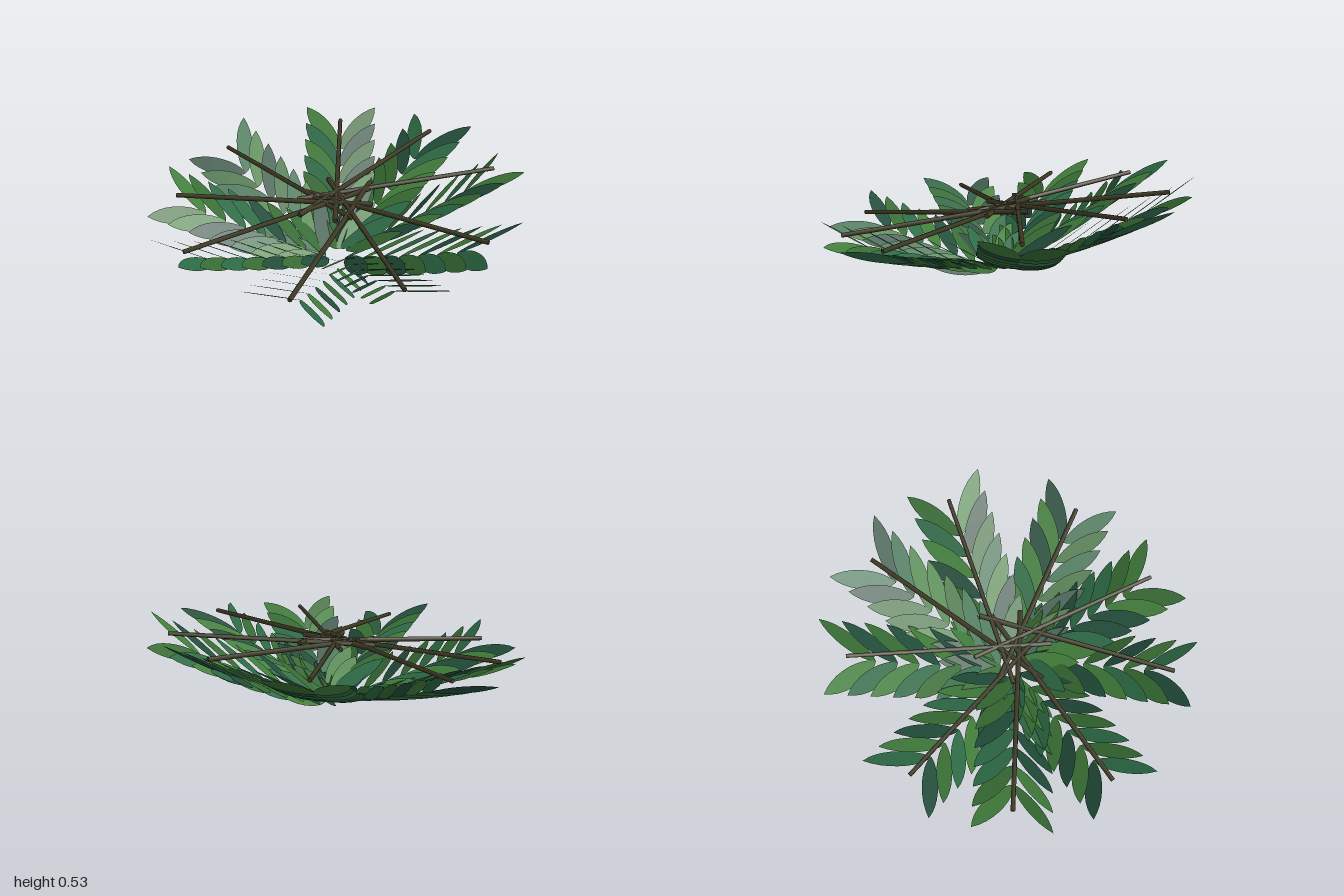
import * as THREE from 'three';

// Each frond: stem start (x, z), stem tip (x, z), then for its two sides
// the height of the outermost leaflet tip and the leaflets' upward slope along the frond
const FRONDS = [
  [[0.11, -0.20], [0.11, 0.87], [0.28, 0.56], [0.17, 0.56]],
  [[-0.12, -0.17], [0.60, 0.64], [0.27, 0.58], [0.26, 0.58]],
  [[-0.20, -0.02], [0.87, 0.16], [0.30, 0.75], [0.38, 0.56]],
  [[-0.20, 0.06], [0.71, -0.52], [0.49, 0.72], [0.44, 0.85]],
  [[-0.13, 0.20], [0.25, -0.82], [0.53, 0.80], [0.51, 0.80]],
  [[0.07, 0.20], [-0.30, -0.80], [0.52, 0.80], [0.52, 0.80]],
  [[0.14, 0.15], [-0.81, -0.33], [0.51, 0.85], [0.36, 0.70]],
  [[0.20, 0.00], [-0.85, 0.21], [0.40, 0.58], [0.28, 0.75]],
  [[0.13, -0.14], [-0.56, 0.67], [0.25, 0.62], [0.28, 0.62]],
];
const PAIRS = 7, SPACING = 0.11, FIRST = 0.055;
const REACH = FIRST + SPACING * (PAIRS - 1);
const RUN = 0.26, SPREAD = 0.205, HALF_WIDTH = 0.05; // leaflet extent along and across the frond

const greens = [0x2d6a45, 0x417d3b, 0x224d3a, 0x366b33].map((color) =>
  new THREE.MeshStandardMaterial({ color, side: THREE.DoubleSide, roughness: 0.9 }));
const bark = new THREE.MeshStandardMaterial({ color: 0x3d3823, roughness: 0.9 });

// Flat pointed blade, unit length along y
function bladeGeometry() {
  const s = new THREE.Shape();
  s.moveTo(0, 0);
  s.bezierCurveTo(1.05, 0.13, 1.65, 0.68, 0, 1);
  s.bezierCurveTo(-1.65, 0.68, -1.05, 0.13, 0, 0);
  return new THREE.ShapeGeometry(s, 10);
}

// The stems all lie in one gently tilted plane
const stemPoint = ([x, z]) => new THREE.Vector3(x, 0.355 - 0.16 * z, z);

function makeStem(start, tip) {
  const a = stemPoint(start), b = stemPoint(tip);
  const dir = b.clone().sub(a);
  const stem = new THREE.Mesh(new THREE.CylinderGeometry(0.012, 0.014, dir.length(), 6), bark);
  stem.position.copy(a).add(b).multiplyScalar(0.5);
  stem.quaternion.setFromUnitVectors(new THREE.Vector3(0, 1, 0), dir.normalize());
  stem.name = 'stem';
  return stem;
}

function makeFrond(blade, [start, tip, ...sides], index) {
  const frond = new THREE.Group();
  frond.name = 'frond';
  frond.add(makeStem(start, tip));

  // Leaflet axis: from near the crown towards the stem tip
  const s = new THREE.Vector2(...start), t = new THREE.Vector2(...tip);
  const d = t.clone().sub(s).normalize();
  const foot = s.clone().addScaledVector(d, -s.dot(d)).multiplyScalar(0.6);
  const u = t.clone().sub(foot).normalize();
  const v = new THREE.Vector2(u.y, -u.x);
  const rise = 0.345 - 0.165 * u.y;
  const baseHeight = (r) => 0.012 + 0.95 * rise * REACH * Math.pow(r / REACH, 1.2);

  sides.forEach(([tipHeight, along], k) => {
    const side = k ? 1 : -1;
    const across = side * (tipHeight - baseHeight(REACH) - along * RUN) / SPREAD;
    // Leaflet axes lie in a plane sloping both along and across the frond
    const lengthwise = new THREE.Vector3(
      u.x * RUN + side * v.x * SPREAD, tipHeight - baseHeight(REACH), u.y * RUN + side * v.y * SPREAD);
    const normal = new THREE.Vector3(
      -along * u.x - across * v.x, 1, -along * u.y - across * v.y).normalize();
    const widthwise = new THREE.Vector3().crossVectors(lengthwise, normal).setLength(HALF_WIDTH);

    for (let i = 0; i < PAIRS; i++) {
      const r = FIRST + SPACING * i;
      const p = foot.clone().addScaledVector(u, r);
      const place = new THREE.Matrix4().makeBasis(widthwise, lengthwise, normal)
        .setPosition(p.x, baseHeight(r), p.y);
      const geometry = blade.clone().applyMatrix4(place);
      geometry.computeVertexNormals();
      const shade = (i * 3 + index + k * 2 + (i * i * index) % 3) % greens.length;
      const leaflet = new THREE.Mesh(geometry, greens[shade]);
      leaflet.name = 'leaflet';
      frond.add(leaflet);
    }
  });
  return frond;
}

export function createModel() {
  const model = new THREE.Group();
  model.name = 'fern';
  const blade = bladeGeometry();
  FRONDS.forEach((f, i) => model.add(makeFrond(blade, f, i)));
  return model;
}
